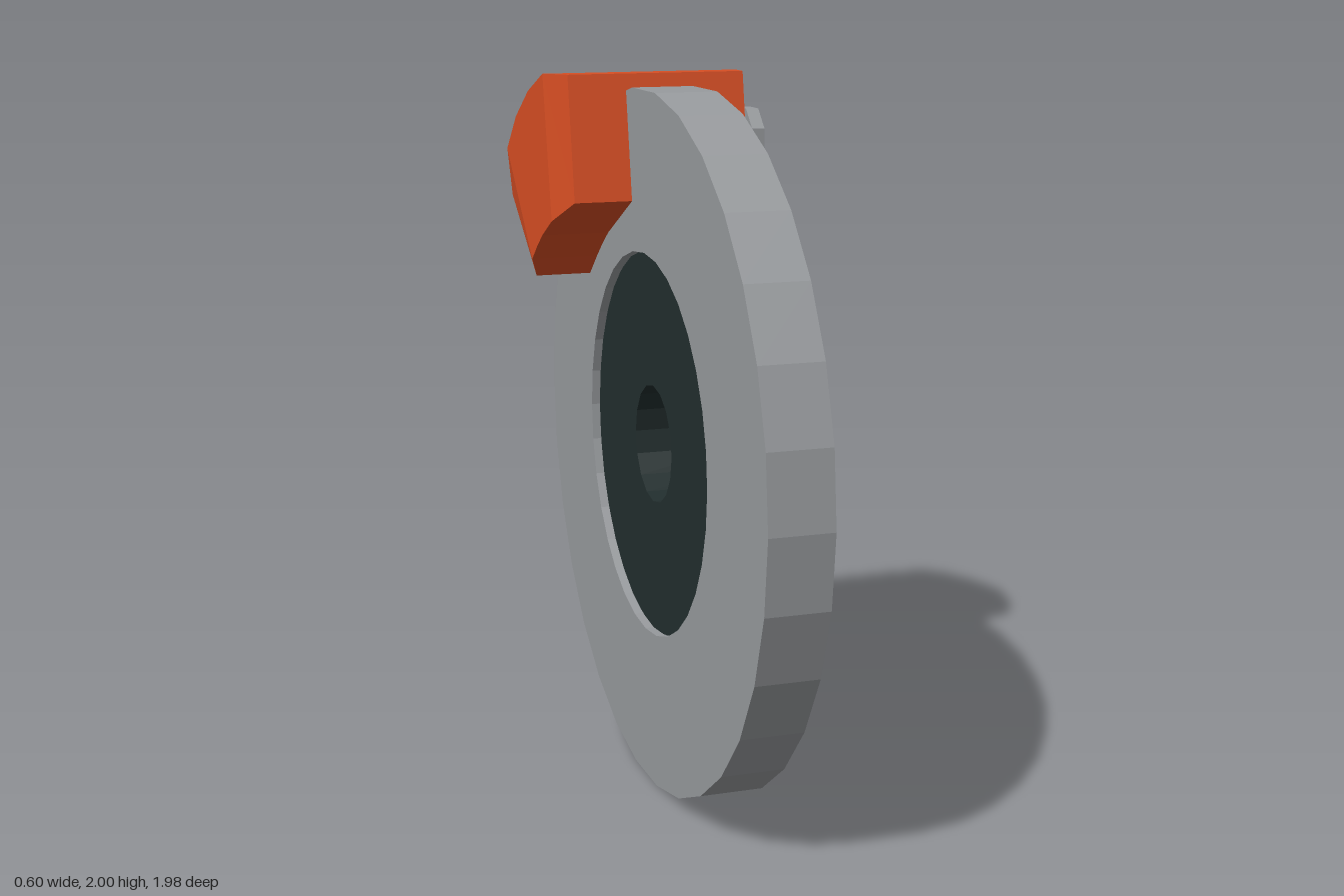
import * as THREE from 'three';

const mat = (name, color) => {
  const m = new THREE.MeshStandardMaterial({ color, flatShading: true });
  m.name = name;
  return m;
};

// regular polygon outline with its first corner at the given angle
const polygon = (r, n, start = 0, cx = 0, cy = 0) =>
  Array.from({ length: n }, (_, i) => {
    const a = start + (i / n) * Math.PI * 2;
    return new THREE.Vector2(cx + r * Math.cos(a), cy + r * Math.sin(a));
  });

// straight plate from w0 to w1 along the axle
function plate(points, w0, w1, hole) {
  const shape = new THREE.Shape(points);
  if (hole) shape.holes.push(new THREE.Path(hole));
  return new THREE.ExtrudeGeometry(shape, { depth: w1 - w0, bevelEnabled: false }).translate(0, 0, w0);
}

// caliper body: four-cornered sections following the disc rim, narrowed at both ends
function caliperGeometry() {
  const outer = [[0.17, 1.016], [0.32, 1.01], [0.49, 0.95], [0.64, 0.865], [0.755, 0.76], [0.83, 0.61]];
  const inner = [[0.11, 0.67], [0.24, 0.605], [0.35, 0.55], [0.41, 0.51], [0.47, 0.465], [0.547, 0.402]];
  const last = outer.length - 1;
  const rings = outer.map((o, i) => {
    const inset = i === 0 || i === last ? 0.032 : 0;
    const lo = -0.302 + inset, hi = 0.272 - inset;
    return [[...o, lo], [...o, hi], [...inner[i], hi], [...inner[i], lo]];
  });
  const pos = [];
  const quad = (a, b, c, d) => pos.push(...a, ...b, ...c, ...a, ...c, ...d);
  for (let i = 0; i < last; i++) {
    for (let j = 0; j < 4; j++) {
      const k = (j + 1) % 4;
      quad(rings[i][j], rings[i][k], rings[i + 1][k], rings[i + 1][j]);
    }
  }
  quad(...[...rings[0]].reverse());
  quad(...rings[last]);
  const g = new THREE.BufferGeometry();
  g.setAttribute('position', new THREE.Float32BufferAttribute(pos, 3));
  g.computeVertexNormals();
  return g;
}

export function createModel() {
  const steel = mat('steel grey', 0x989b9e);
  const dark = mat('dark green black', 0x222e2e);
  const orange = mat('caliper orange', 0xd94f24);

  // built facing +z, then turned so the axle lies along x
  const wheel = new THREE.Group();
  wheel.name = 'brakeAssembly';
  const add = (name, geometry, material) => {
    const mesh = new THREE.Mesh(geometry, material);
    mesh.name = name;
    wheel.add(mesh);
    return mesh;
  };

  // disc ring
  add('disc', plate(polygon(0.988, 30), -0.105, 0.07, polygon(0.541, 32)), steel);

  // hub with chamfered face and axle hole
  const hubProfile = [[0.167, -0.08], [0.55, -0.08], [0.55, 0.125], [0.468, 0.238], [0.167, 0.238], [0.167, -0.08]]
    .map(([r, w]) => new THREE.Vector2(r, w));
  add('hub', new THREE.LatheGeometry(hubProfile, 16).rotateX(Math.PI / 2), dark);

  // bolts around the hub
  const bolt = plate(polygon(0.032, 6, 0, 0, 0), 0.06, 0.13);
  for (let i = 0; i < 10; i++) {
    const a = Math.PI / 2 + (i / 10) * Math.PI * 2;
    add('bolt', bolt, steel).position.set(0.593 * Math.cos(a), 0.593 * Math.sin(a), 0);
  }

  // curved slots swept around the disc face
  const path = [[0, 0.615], [-0.105, 0.725], [-0.275, 0.82]];
  const side = (s) => path.map(([u, v]) => new THREE.Vector2(u + s * 0.008, v + s * 0.012));
  const slot = plate([...side(1), ...side(-1).reverse()], 0.069, 0.078);
  for (let i = 0; i < 8; i++) add('slot', slot, dark).rotation.z = (i * Math.PI) / 4;

  // caliper and its piston caps
  add('caliper', caliperGeometry(), orange);
  for (const [u, v] of [[0.245, 0.818], [0.447, 0.727], [0.62, 0.587]]) {
    add('pistonCap', plate(polygon(0.096, 8, Math.PI / 8, u, v), 0.265, 0.302), steel);
  }

  wheel.rotation.y = Math.PI / 2;
  wheel.position.y = 0.983;
  const model = new THREE.Group();
  model.name = 'discBrake';
  model.add(wheel);
  return model;
}
